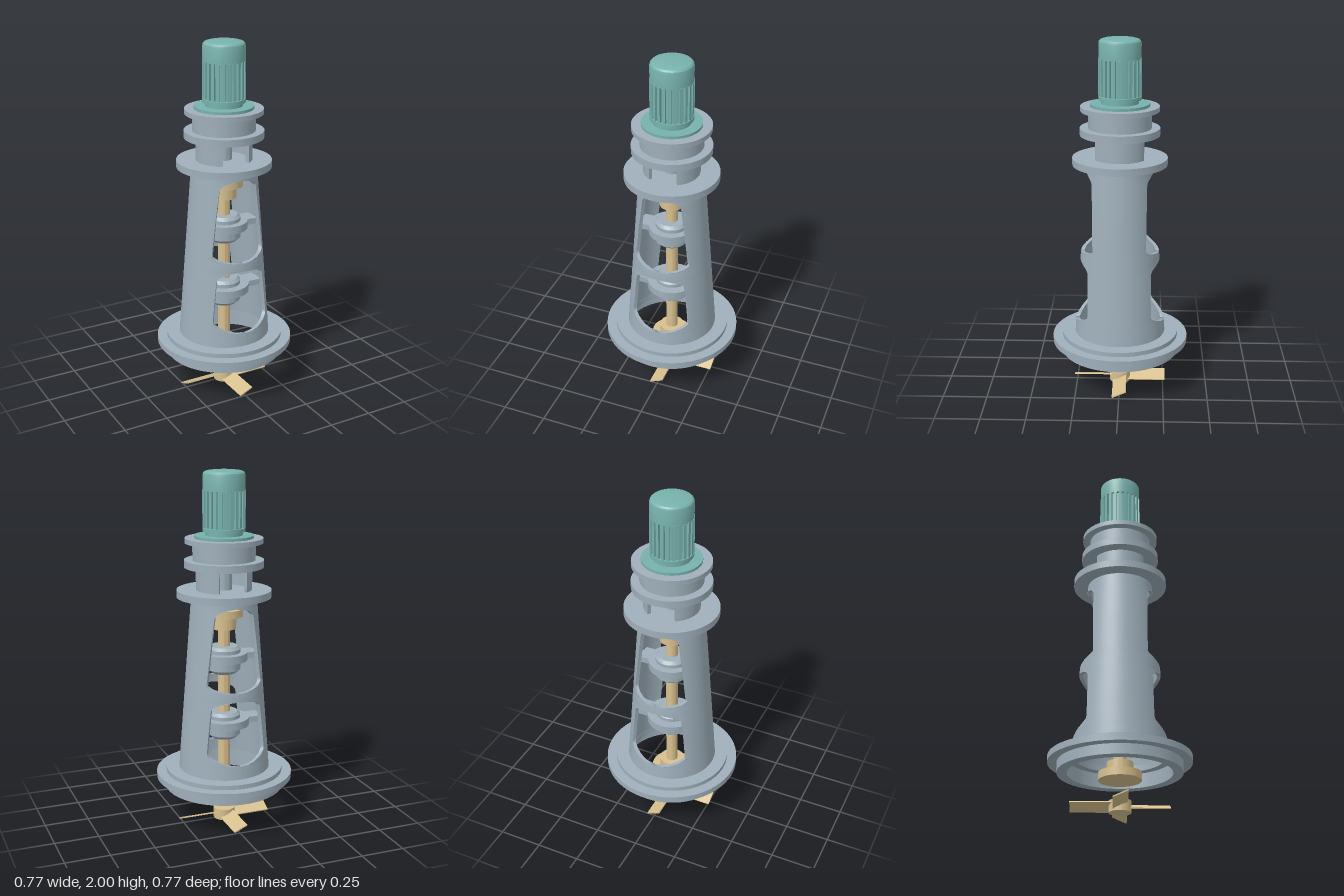
import * as THREE from 'three';
import { mergeGeometries, toCreasedNormals } from 'three/addons/utils/BufferGeometryUtils.js';

const mat = (name, color) => {
  const m = new THREE.MeshStandardMaterial({ color });
  m.name = name;
  return m;
};

// Solid of revolution from [radius, y] pairs, listed upwards on the outside
const turned = (profile, segments = 64) => toCreasedNormals(
  new THREE.LatheGeometry(profile.map(([r, y]) => new THREE.Vector2(r, y)), segments), 0.5);

// Stack of plain steps: [radius, bottom, top]
const stepped = (steps) => turned([
  [0, steps[0][1]], ...steps.flatMap(([r, a, b]) => [[r, a], [r, b]]), [0, steps.at(-1)[2]]]);

// Grid surface through f(u, row), u from 0 to 1
function grid(nu, rows, f) {
  const pos = [], index = [];
  rows.forEach((y, j) => {
    for (let i = 0; i <= nu; i++) {
      pos.push(...f(i / nu, y));
      if (i < nu && j < rows.length - 1) {
        const a = j * (nu + 1) + i, b = a + nu + 1;
        index.push(a, a + 1, b + 1, a, b + 1, b);
      }
    }
  });
  const g = new THREE.BufferGeometry();
  g.setAttribute('position', new THREE.Float32BufferAttribute(pos, 3));
  g.setIndex(index);
  g.computeVertexNormals();
  return g;
}

// Curved side wall on +x; halfWidth(y) is the half width of the front and back openings
function sideWall(rows, radius, halfWidth, thick) {
  const at = (u, y, inset) => {
    const r = radius(y), start = Math.asin(halfWidth(y) / r);
    const t = start + (Math.PI - 2 * start) * u;
    return [(r - inset) * Math.sin(t), y, (r - inset) * Math.cos(t)];
  };
  return mergeGeometries([
    grid(32, rows, (u, y) => at(u, y, 0)),
    grid(32, rows, (u, y) => at(1 - u, y, thick)),
    grid(1, rows, (u, y) => at(0, y, thick * (1 - u))),
    grid(1, rows, (u, y) => at(1, y, thick * u)),
  ]);
}

export function createModel() {
  const model = new THREE.Group();
  model.name = 'agitator';
  const grey = mat('grey casting', 0x9fafba);
  const tan = mat('tan shaft metal', 0xd8c08f);
  const teal = mat('teal motor paint', 0x78b2ad);

  const add = (name, geometry, material, parent = model) => {
    const m = new THREE.Mesh(geometry, material);
    m.name = name;
    parent.add(m);
    return m;
  };

  // Stepped base ring, open in the middle
  add('baseFlange', turned([
    [0.28, 0.21], [0.335, 0.21], [0.335, 0.265], [0.385, 0.265], [0.385, 0.3], [0.33, 0.3],
    [0.33, 0.325], [0.236, 0.325], [0.236, 0.29], [0.28, 0.29], [0.28, 0.21]], 96), grey);

  // Conical lantern with two openings above each other, front and back: [y, half width]
  const opening = [
    [0.31, 0], [0.398, 0], [0.402, 0.05], [0.41, 0.085], [0.422, 0.115], [0.437, 0.145],
    [0.455, 0.168], [0.475, 0.17], [0.6, 0.158], [0.715, 0.145], [0.732, 0.132], [0.747, 0.1],
    [0.757, 0.055], [0.762, 0], [0.808, 0], [0.812, 0.055], [0.82, 0.1], [0.832, 0.138],
    [0.848, 0.16], [0.87, 0.157], [1.05, 0.136], [1.225, 0.113], [1.24, 0.102], [1.255, 0.078],
    [1.267, 0.04], [1.272, 0], [1.32, 0]];
  const coneRadius = (y) => THREE.MathUtils.mapLinear(y, 0.325, 1.31, 0.257, 0.182);
  const cone = sideWall(opening.map((p) => p[0]), coneRadius,
    (y) => opening.find((p) => p[0] === y)[1], 0.02);
  // Neck with straight openings
  const neck = sideWall([1.345, 1.48], () => 0.155, () => 0.08, 0.02);
  for (const [side, angle] of [['left', 0], ['right', Math.PI]]) {
    add(side + 'LanternWall', cone, grey).rotation.y = angle;
    add(side + 'NeckWall', neck, grey).rotation.y = angle;
  }

  // Flanges and drum above the lantern
  add('lanternTopFlange', stepped([[0.262, 1.31, 1.35]]), grey);
  add('neckShaft', stepped([[0.044, 1.35, 1.476]]), grey);
  add('upperDrum', stepped([[0.219, 1.475, 1.515], [0.173, 1.515, 1.608], [0.215, 1.608, 1.635]]), grey);

  // Shaft with coupling on top and seal at the bottom
  add('driveShaft', stepped([
    [0.115, 0.172, 0.215], [0.07, 0.215, 0.27], [0.034, 0.27, 1.13], [0.068, 1.13, 1.2],
    [0.105, 1.2, 1.243], [0.06, 1.243, 1.31]]), tan);

  // Two shaft bearings, each carried by a pair of arms
  for (const [name, y, disc] of [['upperBearing', 0.973, 0.132], ['lowerBearing', 0.592, 0.142]]) {
    const bearing = new THREE.Group();
    bearing.name = name;
    bearing.position.y = y;
    model.add(bearing);
    add('bearingHousing', turned([
      [0, -0.095], [0.07, -0.095], [0.092, -0.075], [0.092, -0.022], [disc, -0.022],
      [disc, 0.022], [0.092, 0.022], [0.092, 0.042], [0.076, 0.058], [0, 0.058]]), grey, bearing);
    const reach = coneRadius(y) - 0.012;
    for (const s of [-1, 1]) {
      add('bearingArm', new THREE.BoxGeometry(reach - 0.08, 0.034, 0.1), grey, bearing)
        .position.x = s * (reach + 0.08) / 2;
    }
  }

  // Motor: foot plate, finned body, domed cap
  add('motorFoot', stepped([[0.163, 1.635, 1.65], [0.103, 1.65, 1.67], [0.117, 1.67, 1.69]]), teal);
  add('motorBody', stepped([[0.103, 1.69, 1.895]]), teal);
  const fins = new THREE.Group();
  fins.name = 'coolingFins';
  model.add(fins);
  const finShape = new THREE.BoxGeometry(0.016, 0.2, 0.02).translate(0, 1.793, 0.107);
  for (let i = 0; i < 24; i++) add('coolingFin', finShape, teal, fins).rotation.y = i * Math.PI / 12;
  add('motorCap', turned([
    [0, 1.89], [0.115, 1.89], [0.115, 1.972], [0.112, 1.983], [0.104, 1.991], [0.09, 1.995],
    [0.05, 1.999], [0, 2]]), teal);

  // Impeller with four pitched blades
  const impeller = new THREE.Group();
  impeller.name = 'impeller';
  model.add(impeller);
  add('impellerHub', stepped([[0.06, 0, 0.062]]), tan, impeller);
  const blade = new THREE.BoxGeometry(0.085, 0.007, 0.222)
    .rotateZ(0.42).translate(0, 0.031, 0.151);
  for (let i = 0; i < 4; i++) add('impellerBlade', blade, tan, impeller).rotation.y = i * Math.PI / 2;

  return model;
}
